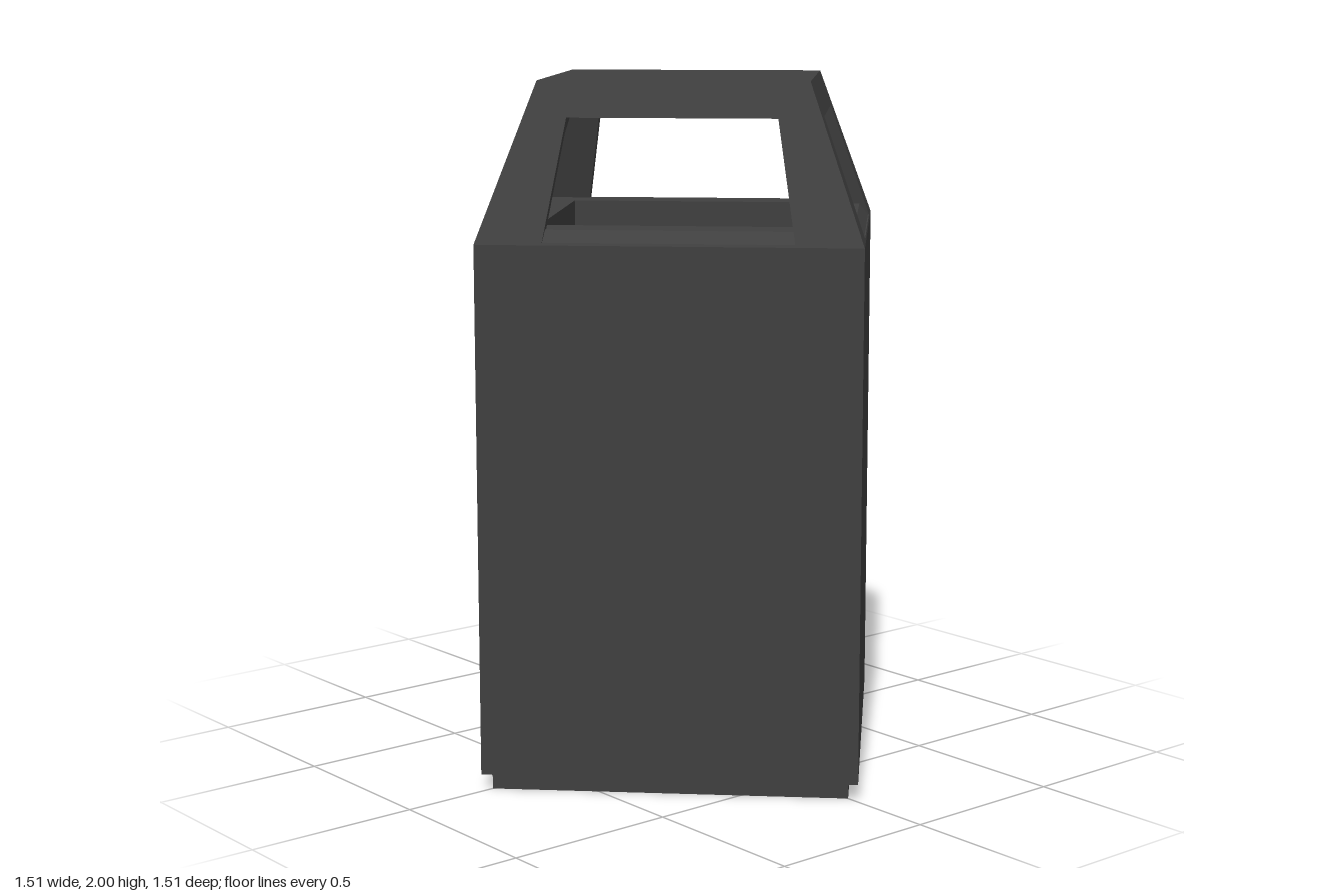
import * as THREE from 'three';

const SHOULDER = 1.56, TOP = 2, WALL = 0.04;

// half-width of the sloping lid at height y
const lidHalf = (y) => 0.534 - 0.156 * (y - SHOULDER) / (TOP - SHOULDER);

// square ring, corners on the axes, from a profile of [half-width, height]
function squareLathe(name, profile, material) {
  const points = profile.map(([w, y]) => new THREE.Vector2(w * Math.SQRT2, y));
  const geometry = new THREE.LatheGeometry(points, 4).toNonIndexed();
  geometry.computeVertexNormals();
  const mesh = new THREE.Mesh(geometry, material);
  mesh.name = name;
  return mesh;
}

// sloping lid side with a trapezoid opening, mitred at the corners
function lidPanelGeometry() {
  const b = lidHalf(SHOULDER), t = lidHalf(TOP);
  const shape = new THREE.Shape([
    new THREE.Vector2(-b, SHOULDER), new THREE.Vector2(b, SHOULDER),
    new THREE.Vector2(t, TOP), new THREE.Vector2(-t, TOP),
  ]);
  shape.holes.push(new THREE.Path([
    new THREE.Vector2(-0.346, 1.567), new THREE.Vector2(-0.292, 1.9),
    new THREE.Vector2(0.292, 1.9), new THREE.Vector2(0.346, 1.567),
  ]));
  const geometry = new THREE.ExtrudeGeometry(shape, { depth: WALL, bevelEnabled: false });
  const p = geometry.attributes.position;
  for (let i = 0; i < p.count; i++) {
    const half = lidHalf(p.getY(i));
    const inset = WALL - p.getZ(i);
    if (Math.abs(p.getX(i)) > half - 0.001) p.setX(i, Math.sign(p.getX(i)) * (half - inset));
    p.setZ(i, half - inset);
  }
  geometry.computeVertexNormals();
  return geometry;
}

export function createModel() {
  const model = new THREE.Group();
  model.name = 'litterBin';
  const charcoal = new THREE.MeshStandardMaterial({ color: 0x404040 });
  charcoal.name = 'charcoal';

  // recessed foot and hollow body, open underneath
  model.add(squareLathe('plinth',
    [[0.5, 0], [0.506, 0], [0.506, 0.05], [0.5, 0.05], [0.5, 0]], charcoal));
  model.add(squareLathe('body',
    [[0.5, 0.05], [0.534, 0.05], [0.534, SHOULDER], [0.5, SHOULDER], [0.5, 0.05]], charcoal));

  // bevelled ledge with the inner chute hanging from it
  model.add(squareLathe('ledgeAndChute', [
    [0.38, 0.26], [0.38, SHOULDER], [0.532, 1.562], [0.502, 1.6],
    [0.374, 1.6], [0.374, 0.26], [0.38, 0.26],
  ], charcoal));

  // lid sides
  const lid = new THREE.Group();
  lid.name = 'lid';
  const panelGeometry = lidPanelGeometry();
  for (let i = 0; i < 4; i++) {
    const panel = new THREE.Mesh(panelGeometry, charcoal);
    panel.name = 'lidPanel' + (i + 1);
    panel.rotation.y = Math.PI / 4 + i * Math.PI / 2;
    lid.add(panel);
  }

  // flat roof between the sides
  const inner = (y) => (lidHalf(y) - WALL) * Math.SQRT2;
  const roofGeometry = new THREE.CylinderGeometry(inner(TOP), inner(TOP - WALL), WALL, 4).toNonIndexed();
  roofGeometry.computeVertexNormals();
  const roof = new THREE.Mesh(roofGeometry, charcoal);
  roof.name = 'roof';
  roof.position.y = TOP - WALL / 2;
  lid.add(roof);

  model.add(lid);
  return model;
}
